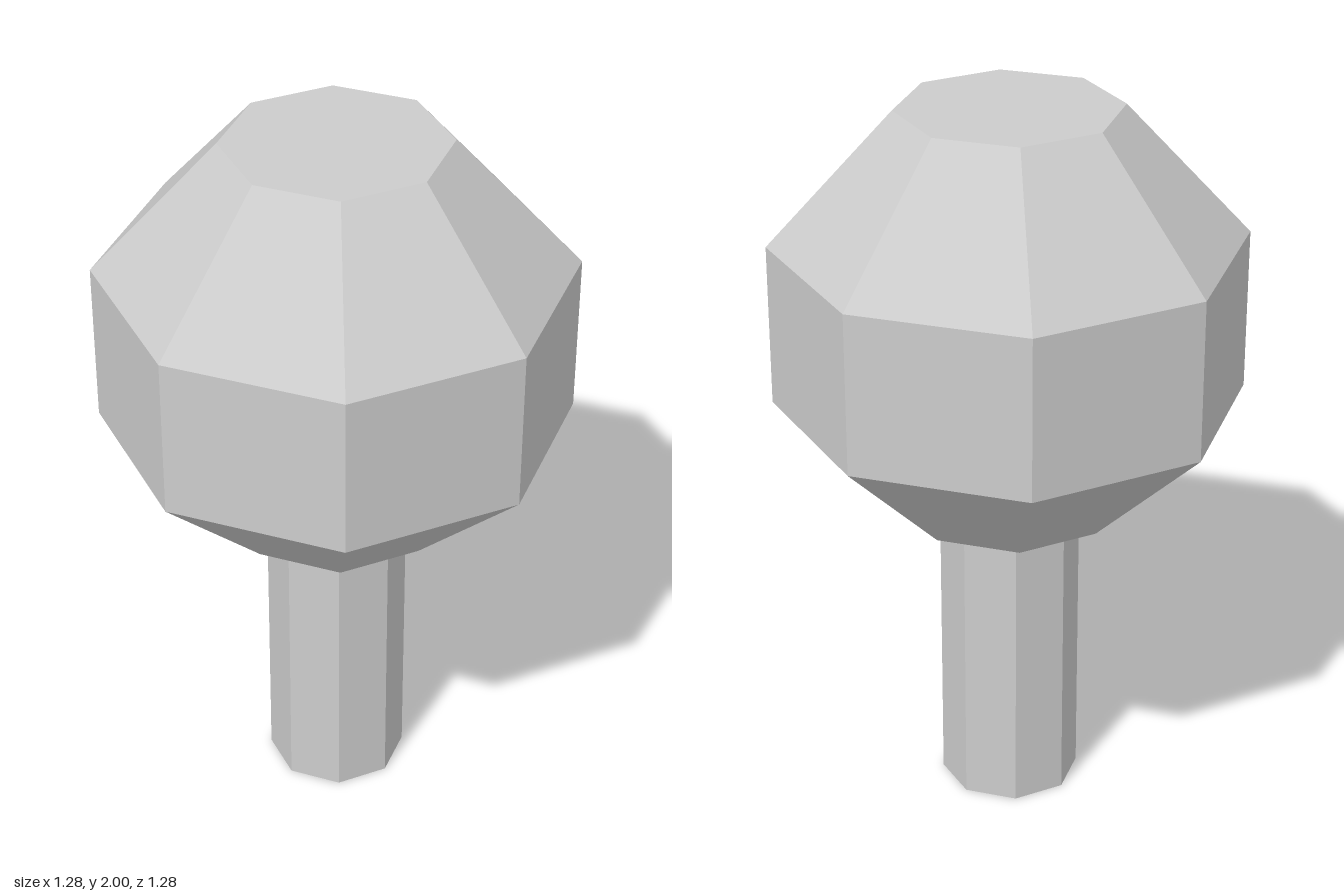
import * as THREE from 'three';

const SIDES = 8;

export function createModel() {
  const group = new THREE.Group();
  group.name = 'tree';
  const material = new THREE.MeshStandardMaterial({ color: 0xcccccc, flatShading: true });

  // Turn a [radius, height] profile, listed bottom to top, into a faceted part
  function addTurned(name, profile) {
    const points = profile.map(([r, y]) => new THREE.Vector2(r, y));
    const mesh = new THREE.Mesh(new THREE.LatheGeometry(points, SIDES), material);
    mesh.name = name;
    group.add(mesh);
  }

  // Trunk: straight octagonal post, closed underneath
  addTurned('trunk', [[0, 0], [0.193, 0], [0.193, 0.805]]);

  // Crown: shallow collar, flared underside, upright band, tapered flat top
  addTurned('crown', [
    [0.193, 0.805], [0.303, 0.86], [0.64, 1.187],
    [0.64, 1.635], [0.303, 2], [0, 2],
  ]);

  return group;
}
